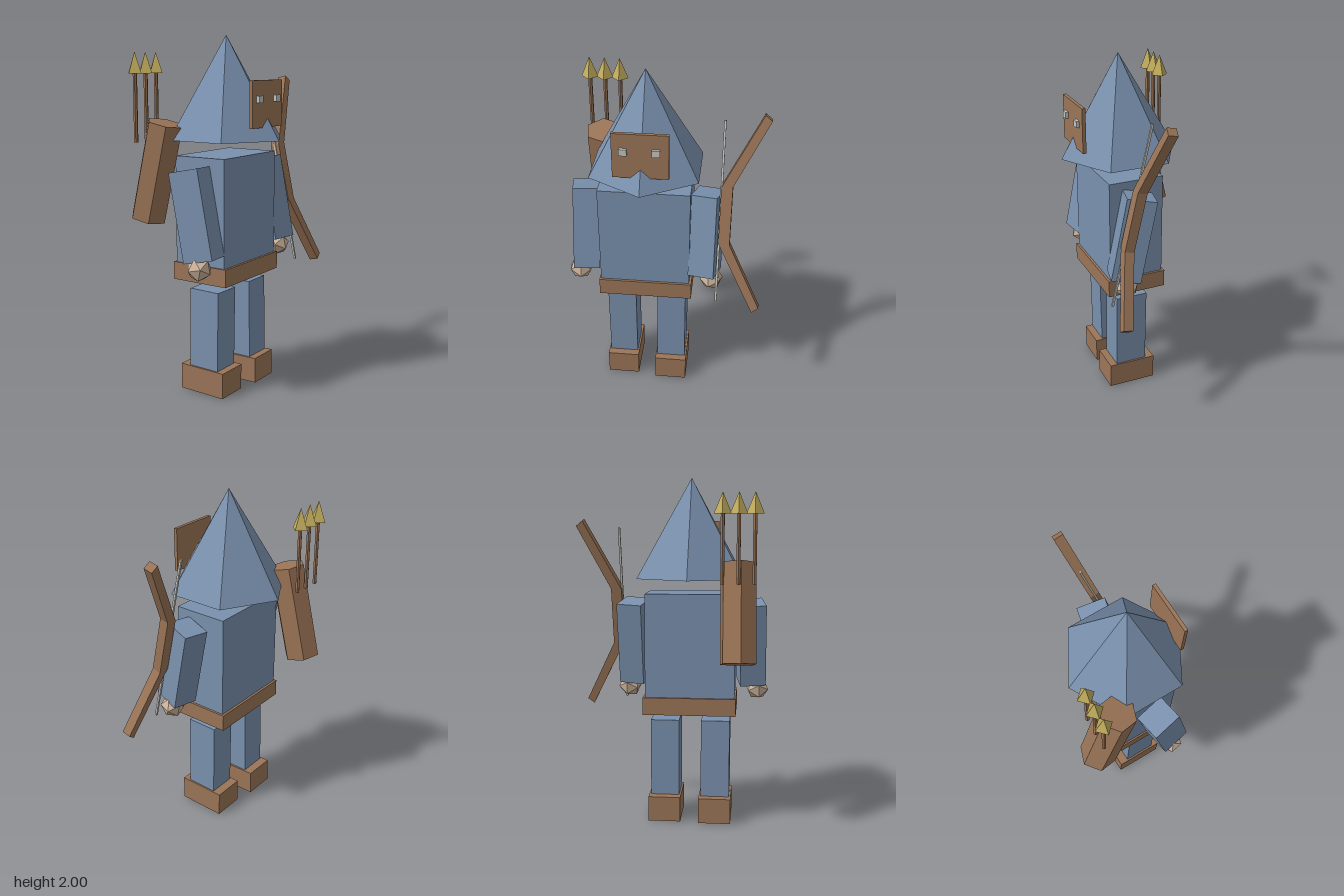
import * as THREE from 'three';

export function createModel() {
  const model = new THREE.Group();
  model.name = 'hoodedArcher';

  const mat = (name, color) => {
    const m = new THREE.MeshStandardMaterial({ color });
    m.name = name;
    m.flatShading = true;
    return m;
  };
  const blue = mat('blueCloth', 0x7a91ae);
  const brown = mat('brownLeather', 0x9b7557);
  const gold = mat('goldMetal', 0xc4ae5e);
  const skin = mat('paleSkin', 0xcfb69e);
  const grey = mat('lightGrey', 0xc6c6c2);

  const CX = -0.108; // body centre line
  const CZ = 0.047;
  const YAW = 0.03; // slight turn of the body
  const SWING = -0.22; // arms and bow swing forward

  function add(name, geo, material, pos, rot = [0, 0, 0], parent = model) {
    const mesh = new THREE.Mesh(geo, material);
    mesh.name = name;
    mesh.position.set(...pos);
    mesh.rotation.set(...rot);
    parent.add(mesh);
    return mesh;
  }
  const box = (w, h, d) => new THREE.BoxGeometry(w, h, d);

  // Body
  add('torso', box(0.513, 0.6, 0.322), blue, [-0.11, 1.05, 0.048], [0, YAW, 0]);
  add('belt', box(0.535, 0.1, 0.35), brown, [CX, 0.705, 0.048], [0, YAW, 0]);

  // Hood, face plate and eyes
  add('hood', new THREE.ConeGeometry(0.344, 0.565, 6), blue, [CX, 1.7175, CZ - 0.002], [0, YAW, 0]);
  add('facePlate', box(0.298, 0.252, 0.02), brown, [-0.1, 1.633, 0.305], [0, YAW, 0]);
  for (const [name, x, z] of [['rightEye', -0.188, 0.322], ['leftEye', -0.017, 0.317]]) {
    add(name, box(0.042, 0.037, 0.025), grey, [x, 1.66, z], [0, YAW, 0]);
  }

  for (const [side, s] of [['left', 1], ['right', -1]]) {
    // Legs pivot at the hip with a very small stride
    const leg = new THREE.Group();
    leg.name = side + 'Leg';
    leg.position.set(CX + s * 0.148, 0.605, 0.06);
    leg.rotation.set(-s * 0.015, YAW, 0);
    model.add(leg);
    add(side + 'Trouser', box(0.167, 0.455, 0.188), blue, [0, -0.2275, 0], [0, 0, 0], leg);
    add(side + 'Boot', box(0.188, 0.147, 0.285), brown, [0, -0.5285, -0.005], [0, 0, 0], leg);

    // Arms and faceted hands
    add(side + 'Arm', box(0.15, 0.488, 0.17), blue, [-0.11 + s * 0.345, 1.055, 0.104], [SWING + 0.02, -s * 0.2, 0]);
    add(side + 'Hand', new THREE.IcosahedronGeometry(0.07, 0), skin, [-0.11 + s * 0.384, 0.775, 0.15], [SWING, -s * 0.2, 0]);
  }

  // Bow: three straight limbs in one extruded outline, plus the string
  const bow = new THREE.Group();
  bow.name = 'bow';
  bow.position.set(0, 1.204, 0.135);
  bow.rotation.x = SWING;
  model.add(bow);
  const upper = [[0.31, 0.165], [0.52, 0.575], [0.558, 0.545], [0.373, 0.17]];
  const lower = upper.map(([x, y]) => [x, -y]).reverse();
  const outline = new THREE.Shape([...upper, ...lower].map(([x, y]) => new THREE.Vector2(x, y)));
  const limbs = new THREE.ExtrudeGeometry(outline, { depth: 0.056, bevelEnabled: false });
  add('bowLimbs', limbs, brown, [0, 0, -0.028], [0, 0, 0], bow);
  add('bowString', box(0.012, 1.06, 0.012), grey, [0.311, 0, 0], [0, 0, 0], bow);

  // Quiver leaning on the back
  add('quiver', new THREE.CylinderGeometry(0.105, 0.105, 0.555, 6), brown, [-0.393, 1.256, -0.223], [0.235, 0.2, -0.02]);

  // Arrows
  for (let i = 0; i < 3; i++) {
    const arrow = new THREE.Group();
    arrow.name = 'arrow' + (i + 1);
    arrow.position.set(-0.481 + i * 0.086, 0, -0.292);
    model.add(arrow);
    add('arrowShaft', new THREE.CylinderGeometry(0.012, 0.012, 0.38, 6), brown, [0, 1.61, 0], [0, 0, 0], arrow);
    add('arrowHead', new THREE.ConeGeometry(0.048, 0.116, 4), gold, [0, 1.851, 0], [0, 0, 0], arrow);
  }

  return model;
}
